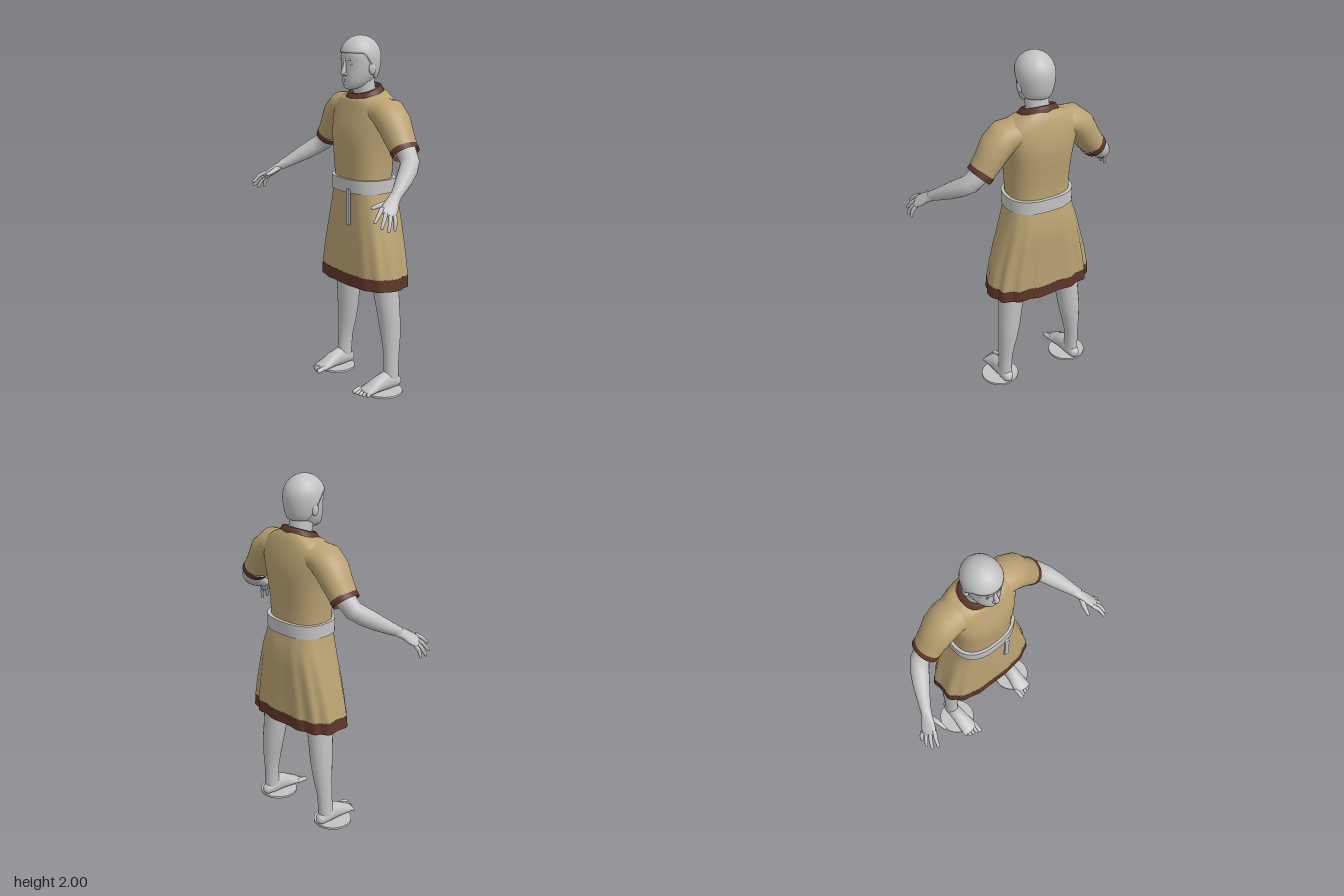
import * as THREE from 'three';
import { toCreasedNormals } from 'three/addons/utils/BufferGeometryUtils.js';

const V = (x, y, z) => new THREE.Vector3(x, y, z);
const mat = (name, color) => {
  const m = new THREE.MeshStandardMaterial({ color, side: THREE.DoubleSide });
  m.name = name;
  return m;
};

// Smooth closed-around surface: point(i, j), i around, j along
function skin(point, n, rows) {
  const pos = [], idx = [];
  for (let j = 0; j < rows; j++) for (let i = 0; i < n; i++) pos.push(...point(i, j).toArray());
  for (let j = 0; j < rows - 1; j++) for (let i = 0; i < n; i++) {
    const a = j * n + i, b = j * n + (i + 1) % n;
    idx.push(a, b, a + n, b, b + n, a + n);
  }
  const g = new THREE.BufferGeometry();
  g.setAttribute('position', new THREE.Float32BufferAttribute(pos, 3));
  g.setIndex(idx);
  g.computeVertexNormals();
  return g;
}

// Limb from sections [x, y, z, widthRadius, depthRadius], optionally with rounded ends
function limb(sections, { ref = V(0, 0, 1), n = 20, capStart = false, capEnd = false } = {}) {
  const rows = sections.map(([x, y, z, ra, rb = ra], i) => {
    const a = sections[Math.max(i - 1, 0)], b = sections[Math.min(i + 1, sections.length - 1)];
    return { c: V(x, y, z), t: V(b[0] - a[0], b[1] - a[1], b[2] - a[2]).normalize(), ra, rb };
  });
  const cap = (r, sign) => [0.35, 0.7, 0.92, 1].map(h => {
    const k = Math.sqrt(1 - h * h);
    return { c: r.c.clone().addScaledVector(r.t, sign * h * Math.min(r.ra, r.rb)), t: r.t, ra: r.ra * k, rb: r.rb * k };
  });
  const all = [...(capStart ? cap(rows[0], -1).reverse() : []), ...rows, ...(capEnd ? cap(rows.at(-1), 1) : [])];
  return skin((i, j) => {
    const { c, t, ra, rb } = all[j], a = i / n * Math.PI * 2;
    const N = ref.clone().cross(t).normalize(), B = t.clone().cross(N);
    return c.clone().addScaledVector(N, Math.cos(a) * ra).addScaledVector(B, Math.sin(a) * rb);
  }, n, all.length);
}

// Stacked rings [y, halfWidth, zFront, zBack, frontDip]; p squares the outline, fold adds cloth waves
function rings(list, { p = 0.85, n = 64, fold = () => 0 } = {}) {
  const pw = v => Math.sign(v) * Math.abs(v) ** p;
  return skin((i, j) => {
    const [y, rx, zf, zb, dip = 0] = list[j], a = i / n * Math.PI * 2;
    const k = 1 + fold(a, y);
    return V(rx * pw(Math.sin(a)) * k, y - dip * Math.cos(a), (zf + zb) / 2 + (zf - zb) / 2 * pw(Math.cos(a)) * k);
  }, n, list.length);
}

export function createModel() {
  const grey = mat('paleGrey', 0xc2c2c2), tan = mat('tanCloth', 0xb9a172), brown = mat('brownTrim', 0x5e3629);
  const model = new THREE.Group();
  model.name = 'standingFigure';
  const add = (name, geo, m, parent = model) => {
    const mesh = new THREE.Mesh(geo, m);
    mesh.name = name;
    parent.add(mesh);
    return mesh;
  };
  const group = name => {
    const g = new THREE.Group();
    g.name = name;
    model.add(g);
    return g;
  };
  const ball = (name, parent, c, r) => {
    const b = add(name, new THREE.SphereGeometry(1, 18, 12), grey, parent);
    b.position.set(...c);
    b.scale.set(...r);
  };

  // Tunic: body, skirt with folds strongest at the back, hem and collar
  add('tunicBody', rings([
    [1.17, 0.178, 0.035, -0.235], [1.24, 0.175, 0.035, -0.232], [1.32, 0.179, 0.04, -0.235],
    [1.40, 0.185, 0.046, -0.245], [1.47, 0.195, 0.044, -0.252], [1.53, 0.208, 0.03, -0.252],
    [1.58, 0.215, 0.014, -0.245], [1.62, 0.21, 0.002, -0.236, 0.004], [1.655, 0.182, -0.006, -0.225, 0.012],
    [1.675, 0.145, -0.01, -0.212, 0.02], [1.686, 0.108, -0.014, -0.2, 0.028]], { p: 0.8 }), tan);
  const fold = (a, y) => {
    const drop = THREE.MathUtils.clamp((1.15 - y) / 0.4, 0, 1);
    return drop * (0.012 + 0.022 * (1 - Math.cos(a)) / 2) * Math.sin(13 * a + 1.2 * Math.sin(2 * a));
  };
  const cloth = { p: 0.7, n: 120, fold };
  add('tunicSkirt', rings([
    [0.685, 0.296, 0.05, -0.262], [0.78, 0.278, 0.048, -0.262], [0.88, 0.254, 0.045, -0.264],
    [0.98, 0.227, 0.041, -0.265], [1.06, 0.206, 0.038, -0.262], [1.12, 0.19, 0.036, -0.247],
    [1.18, 0.18, 0.035, -0.235]], cloth), tan);
  add('skirtHem', rings([[0.618, 0.302, 0.053, -0.262], [0.685, 0.297, 0.051, -0.263]], cloth), brown);
  add('collar', rings([
    [1.68, 0.112, -0.01, -0.204, 0.028], [1.695, 0.104, -0.017, -0.199, 0.028],
    [1.71, 0.095, -0.024, -0.192, 0.026], [1.713, 0.084, -0.034, -0.18, 0.026],
    [1.69, 0.076, -0.04, -0.172, 0.026]], { p: 0.95 }), brown);

  // Belt with its hanging end
  add('belt', toCreasedNormals(rings([
    [1.15, 0.172, 0.03, -0.23], [1.15, 0.193, 0.05, -0.252], [1.225, 0.193, 0.05, -0.252],
    [1.225, 0.172, 0.03, -0.23]], { p: 0.8 }), 0.7), grey);
  add('beltEnd', new THREE.BoxGeometry(0.028, 0.2, 0.012), grey).position.set(0.064, 1.072, 0.052);

  // Head and neck
  const head = group('head');
  add('neck', limb([[0, 1.62, -0.115, 0.075, 0.07], [0, 1.69, -0.105, 0.064, 0.062], [0, 1.8, -0.085, 0.064, 0.065]]), grey, head);
  add('skull', rings([
    [1.712, 0.002, -0.02, -0.022], [1.714, 0.028, 0.012, -0.05, 0.002], [1.73, 0.053, 0.026, -0.1, 0.004],
    [1.76, 0.072, 0.03, -0.14], [1.80, 0.085, 0.03, -0.165], [1.84, 0.09, 0.028, -0.178], [1.88, 0.094, 0.032, -0.183],
    [1.92, 0.095, 0.03, -0.178], [1.96, 0.075, 0, -0.15], [1.985, 0.02, -0.05, -0.1]], { p: 0.92, n: 40 }), grey, head);
  add('hair', skin((i, j) => {
    const a = i / 48 * Math.PI * 2, v = Math.max(j - 1, 0) / 12;
    const low = 1.77 + 0.14 * THREE.MathUtils.smoothstep(Math.cos(a), -0.6, 0.5);
    const y = low + (2 - low) * Math.sin(v * Math.PI / 2), h = (y - 1.885) / 0.115;
    const k = (h > 0 ? Math.sqrt(Math.max(0, 1 - h * h)) : 1 - 0.18 * h * h) * (j ? 1 : 0.88);
    return V(0.106 * k * Math.sin(a), y, -0.075 + 0.118 * k * Math.cos(a));
  }, 48, 14), grey, head);
  add('nose', limb([[0, 1.872, 0.024, 0.009], [0, 1.84, 0.03, 0.01], [0, 1.802, 0.039, 0.015]], { n: 12, capEnd: true }), grey, head);
  for (const [y, z] of [[1.762, 0.028], [1.751, 0.027]])
    add('lip', limb([[-0.026, y - 0.003, z - 0.011, 0.003], [0, y, z, 0.006], [0.026, y - 0.003, z - 0.011, 0.003]], { n: 10 }), grey, head);
  ball('chin', head, [0, 1.727, 0.01], [0.026, 0.015, 0.018]);

  for (const s of [1, -1]) {
    const side = s > 0 ? 'left' : 'right';
    const flip = list => list.map(([x, ...rest]) => [s * x, ...rest]);

    // Face details
    ball(side + 'Ear', head, [s * 0.095, 1.825, -0.085], [0.013, 0.033, 0.022]);
    ball(side + 'Eye', head, [s * 0.036, 1.853, 0.013], [0.015, 0.008, 0.011]);
    ball(side + 'Nostril', head, [s * 0.012, 1.797, 0.033], [0.009, 0.008, 0.011]);
    add(side + 'Brow', limb(flip([[0.01, 1.872, 0.028, 0.006], [0.04, 1.878, 0.018, 0.008], [0.07, 1.872, -0.008, 0.006]]), { n: 10 }), grey, head);

    // Sleeve and cuff
    add(side + 'Sleeve', limb(flip([
      [0.12, 1.60, -0.115, 0.075, 0.1], [0.20, 1.59, -0.115, 0.085, 0.103], [0.25, 1.545, -0.115, 0.086, 0.099],
      [0.295, 1.475, -0.115, 0.076, 0.088], [0.336, 1.418, -0.115, 0.069, 0.081]]), { n: 32 }), tan);
    add(side + 'Cuff', limb(flip([[0.333, 1.42, -0.115, 0.071, 0.083], [0.356, 1.395, -0.115, 0.069, 0.082]]), { n: 32 }), brown);

    // Arm and hand
    const arm = group(side + 'Arm');
    add('arm', limb(flip([
      [0.26, 1.51, -0.115, 0.056], [0.35, 1.41, -0.118, 0.055], [0.4, 1.357, -0.105, 0.052], [0.435, 1.325, -0.065, 0.05],
      [0.47, 1.288, -0.01, 0.045], [0.505, 1.25, 0.05, 0.035], [0.535, 1.218, 0.105, 0.027]])), grey, arm);
    const ref = V(s * 0.68, 0.73, 0.11);
    add('palm', limb(flip([
      [0.52, 1.232, 0.08, 0.03, 0.026], [0.543, 1.208, 0.12, 0.033, 0.021], [0.565, 1.18, 0.155, 0.043, 0.018],
      [0.583, 1.158, 0.185, 0.042, 0.014]]), { ref, capEnd: true }), grey, arm);
    const tips = [[0.587, 1.128, 0.268], [0.615, 1.1, 0.247], [0.628, 1.083, 0.213], [0.627, 1.084, 0.172]];
    tips.forEach(([x, y, z], k) => {
      const f = k / 3, b = [0.556 + 0.046 * f, 1.183 - 0.036 * f, 0.2 - 0.044 * f];
      const mid = [(b[0] + x) / 2 + 0.005, (b[1] + y) / 2 + 0.008, (b[2] + z) / 2];
      add('finger', limb(flip([[...b, 0.012], [...mid, 0.011], [x, y, z, 0.008]]), { ref, n: 10, capEnd: true }), grey, arm);
    });
    add('thumb', limb(flip([
      [0.535, 1.205, 0.125, 0.017], [0.517, 1.192, 0.17, 0.014], [0.505, 1.178, 0.222, 0.009]]), { ref, n: 10, capEnd: true }), grey, arm);

    // Leg, foot, toes and standing disc
    const leg = group(side + 'Leg');
    add('leg', limb(flip([
      [0.227, 0.05, -0.13, 0.04, 0.047], [0.227, 0.1, -0.132, 0.038, 0.045], [0.223, 0.2, -0.136, 0.039, 0.046],
      [0.212, 0.3, -0.14, 0.051, 0.056], [0.2, 0.4, -0.139, 0.062, 0.063], [0.188, 0.5, -0.133, 0.066, 0.069],
      [0.177, 0.6, -0.127, 0.071, 0.077], [0.16, 0.75, -0.12, 0.08, 0.085], [0.12, 0.98, -0.115, 0.085, 0.09]]), { n: 24 }), grey, leg);
    const up = V(0, 1, 0);
    add('foot', limb(flip([
      [0.228, 0.045, -0.165, 0.032, 0.034], [0.227, 0.055, -0.14, 0.04, 0.046], [0.226, 0.062, -0.09, 0.043, 0.055],
      [0.225, 0.053, -0.04, 0.046, 0.045], [0.222, 0.038, 0.01, 0.051, 0.03], [0.221, 0.028, 0.05, 0.052, 0.019]]),
      { ref: up, capStart: true, capEnd: true }), grey, leg);
    for (let k = 0; k < 5; k++) {
      const x = 0.178 + k * 0.0215, r = k ? 0.01 : 0.014, tip = 0.09 - 0.0018 * k * k;
      add('toe', limb(flip([[x, 0.03, 0.035, r], [x, 0.032, (tip + 0.035) / 2, r], [x, r + 0.01, tip, r]]),
        { ref: up, n: 10, capEnd: true }), grey, leg);
    }
    add('standingDisc', new THREE.CylinderGeometry(0.108, 0.108, 0.012, 40), grey, leg).position.set(s * 0.23, 0.006, -0.076);
  }
  return model;
}
